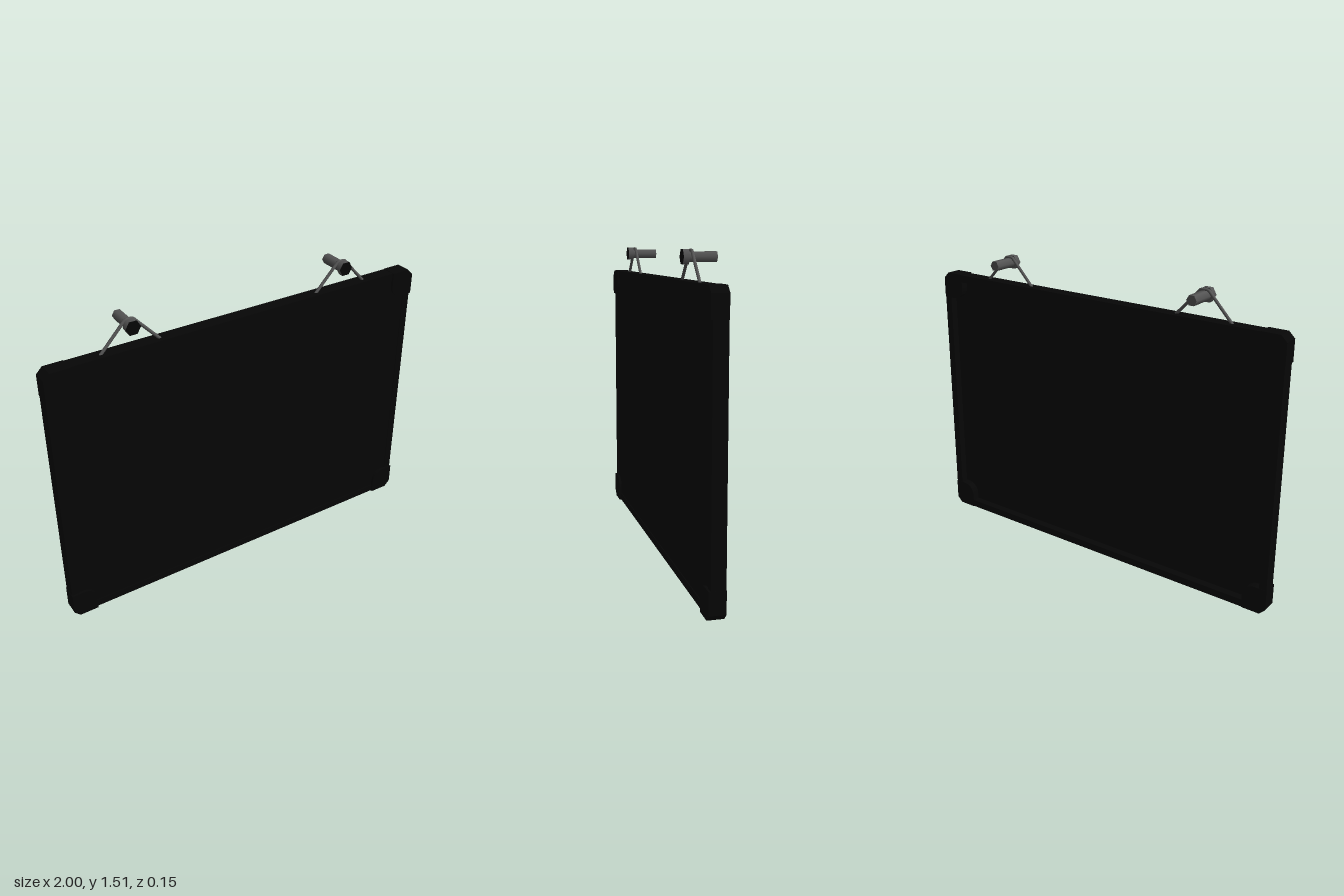
import * as THREE from 'three';

const black = new THREE.MeshStandardMaterial({ color: 0x060606 });
const steel = new THREE.MeshStandardMaterial({ color: 0x555555 });
const H = 1.372; // board height

// Rectangle outline with chamfered corners
function chamferedRect(target, x, y0, y1, c) {
  target.moveTo(-x + c, y0);
  target.lineTo(x - c, y0);
  target.lineTo(x, y0 + c);
  target.lineTo(x, y1 - c);
  target.lineTo(x - c, y1);
  target.lineTo(-x + c, y1);
  target.lineTo(-x, y1 - c);
  target.lineTo(-x, y0 + c);
  target.closePath();
  return target;
}

function extrude(name, shape, z0, z1) {
  const geo = new THREE.ExtrudeGeometry(shape, { depth: z1 - z0, bevelEnabled: false });
  const mesh = new THREE.Mesh(geo.translate(0, 0, z0), black);
  mesh.name = name;
  return mesh;
}

// Corner guard outline: chamfered outside, rounded towards the board's middle
function cornerGuard(sx, sy) {
  const w = 0.125, h = 0.134, c = 0.03, r = 0.06;
  const pts = [[0, c], [c, 0], [w, 0], [w, h - r]];
  for (let i = 1; i <= 5; i++) {
    const a = (i / 5) * Math.PI / 2;
    pts.push([w - r + r * Math.cos(a), h - r + r * Math.sin(a)]);
  }
  pts.push([0, h]);
  const shape = new THREE.Shape(pts.map(([x, y]) =>
    new THREE.Vector2(sx * (1 - x), sy > 0 ? H - y : y)));
  return extrude('cornerGuard', shape, 0, 0.077);
}

// Hexagonal bolt part lying along z, with a dark front face
function hexBar(name, radius, z0, z1) {
  const geo = new THREE.CylinderGeometry(radius, radius, z1 - z0, 6);
  geo.rotateY(Math.PI / 6).rotateX(Math.PI / 2).translate(0, 0, (z0 + z1) / 2);
  const mesh = new THREE.Mesh(geo, [steel, black, steel]);
  mesh.name = name;
  return mesh;
}

// Wire loop slung over a wall bolt
function hanger(x) {
  const group = new THREE.Group();
  group.name = 'hanger';
  const bolt = new THREE.Group();
  bolt.name = 'bolt';
  bolt.position.y = 1.473;
  bolt.add(hexBar('boltHead', 0.037, 0.05, 0.077), hexBar('boltShaft', 0.026, -0.077, 0.05));

  const path = new THREE.CurvePath();
  const pts = [[-0.15, 1.36], [-0.018, 1.5], [0.018, 1.5], [0.15, 1.36]]
    .map(([px, py]) => new THREE.Vector3(px, py, 0.037));
  for (let i = 0; i < 3; i++) path.add(new THREE.LineCurve3(pts[i], pts[i + 1]));
  const wire = new THREE.Mesh(new THREE.TubeGeometry(path, 40, 0.0075, 8), steel);
  wire.name = 'hangingWire';

  group.add(bolt, wire);
  group.position.x = x;
  return group;
}

export function createModel() {
  const model = new THREE.Group();
  model.name = 'hangingBoard';

  // Frame around a panel that sits near the front, leaving a hollow back
  const outline = chamferedRect(new THREE.Shape(), 0.998, 0.002, H - 0.002, 0.032);
  outline.holes.push(chamferedRect(new THREE.Path(), 0.96, 0.04, H - 0.04, 0.01));
  model.add(extrude('frame', outline, 0.001, 0.068));
  model.add(extrude('panel', chamferedRect(new THREE.Shape(), 0.965, 0.035, H - 0.035, 0.01), 0.04, 0.064));

  for (const sx of [-1, 1]) for (const sy of [-1, 1]) model.add(cornerGuard(sx, sy));
  for (const x of [-0.577, 0.562]) model.add(hanger(x));
  return model;
}
